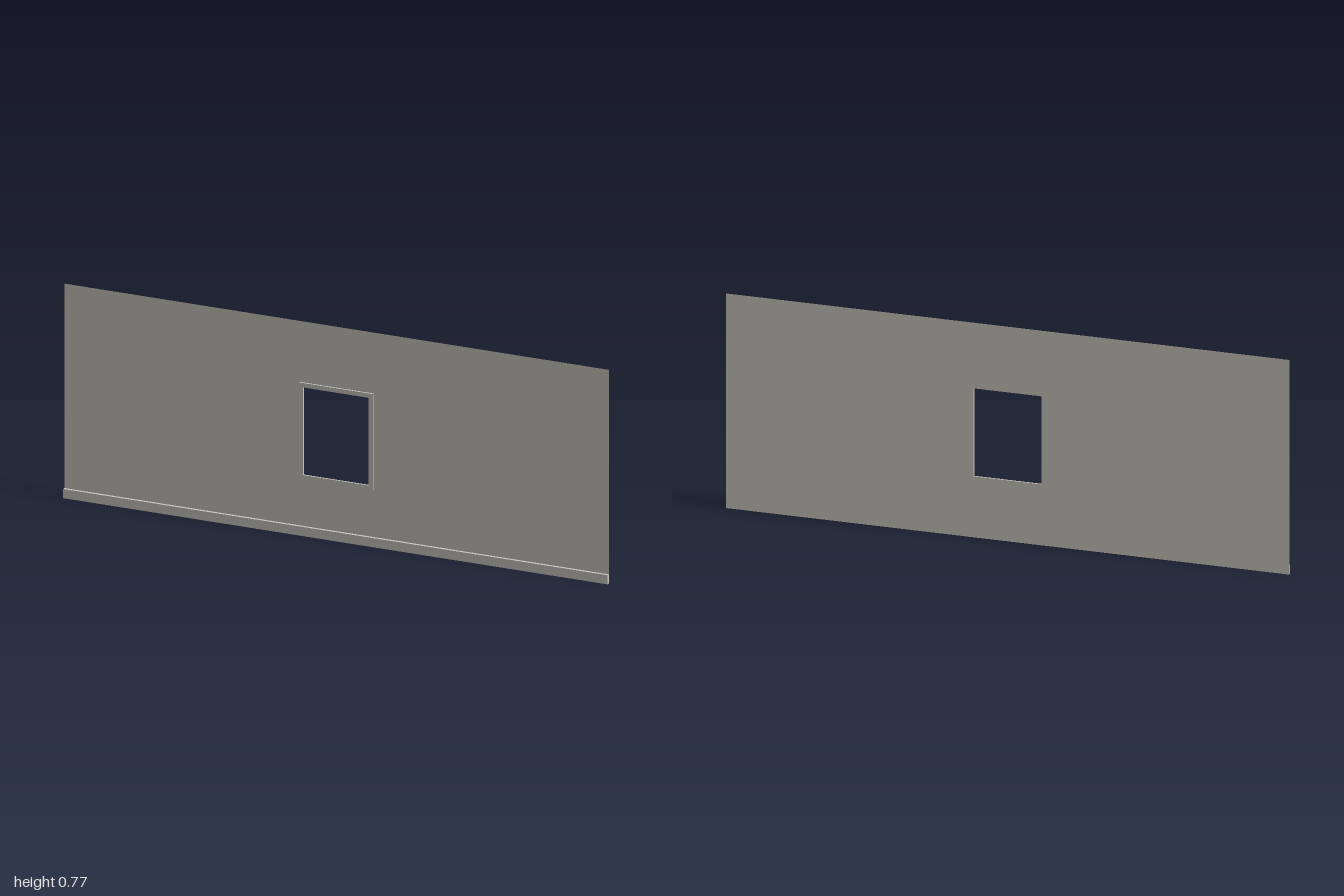
import * as THREE from 'three';

const BACK = -0.005; // plane of the wall sheet
const wallPaint = new THREE.MeshStandardMaterial({ color: 0xcbc7be, side: THREE.DoubleSide });
wallPaint.name = 'wall paint';
const trimPaint = new THREE.MeshStandardMaterial({ color: 0xcac7c0 });
trimPaint.name = 'trim paint';

// Rectangle outline from its corners, for a Shape or a hole
function rect(PathClass, x0, y0, x1, y1) {
  return new PathClass([[x0, y0], [x1, y0], [x1, y1], [x0, y1]].map(([x, y]) => new THREE.Vector2(x, y)));
}

function addMesh(group, name, geometry, material) {
  const mesh = new THREE.Mesh(geometry, material);
  mesh.name = name;
  group.add(mesh);
  return mesh;
}

export function createModel() {
  const group = new THREE.Group();
  group.name = 'wallWithWindowOpening';

  const opening = { x: 0.12, y0: 0.218, y1: 0.533 };
  const hole = () => rect(THREE.Path, -opening.x, opening.y0, opening.x, opening.y1);

  // Thin wall sheet with the window opening
  const wallShape = rect(THREE.Shape, -1, 0, 1, 0.768);
  wallShape.holes.push(hole());
  addMesh(group, 'wall', new THREE.ShapeGeometry(wallShape), wallPaint).position.z = BACK;

  // Raised frame around the opening, on the front only
  const border = 0.016;
  const frameShape = rect(THREE.Shape, -opening.x - border, opening.y0 - border, opening.x + border, opening.y1 + border);
  frameShape.holes.push(hole());
  const frame = new THREE.ExtrudeGeometry(frameShape, { depth: 0.006, bevelEnabled: false });
  addMesh(group, 'windowFrame', frame, trimPaint).position.z = BACK + 0.0002;

  // Skirting board along the foot of the wall
  const skirting = addMesh(group, 'skirtingBoard', new THREE.BoxGeometry(2, 0.033, 0.0098), trimPaint);
  skirting.position.set(0, 0.0165, BACK + 0.0051);

  return group;
}
